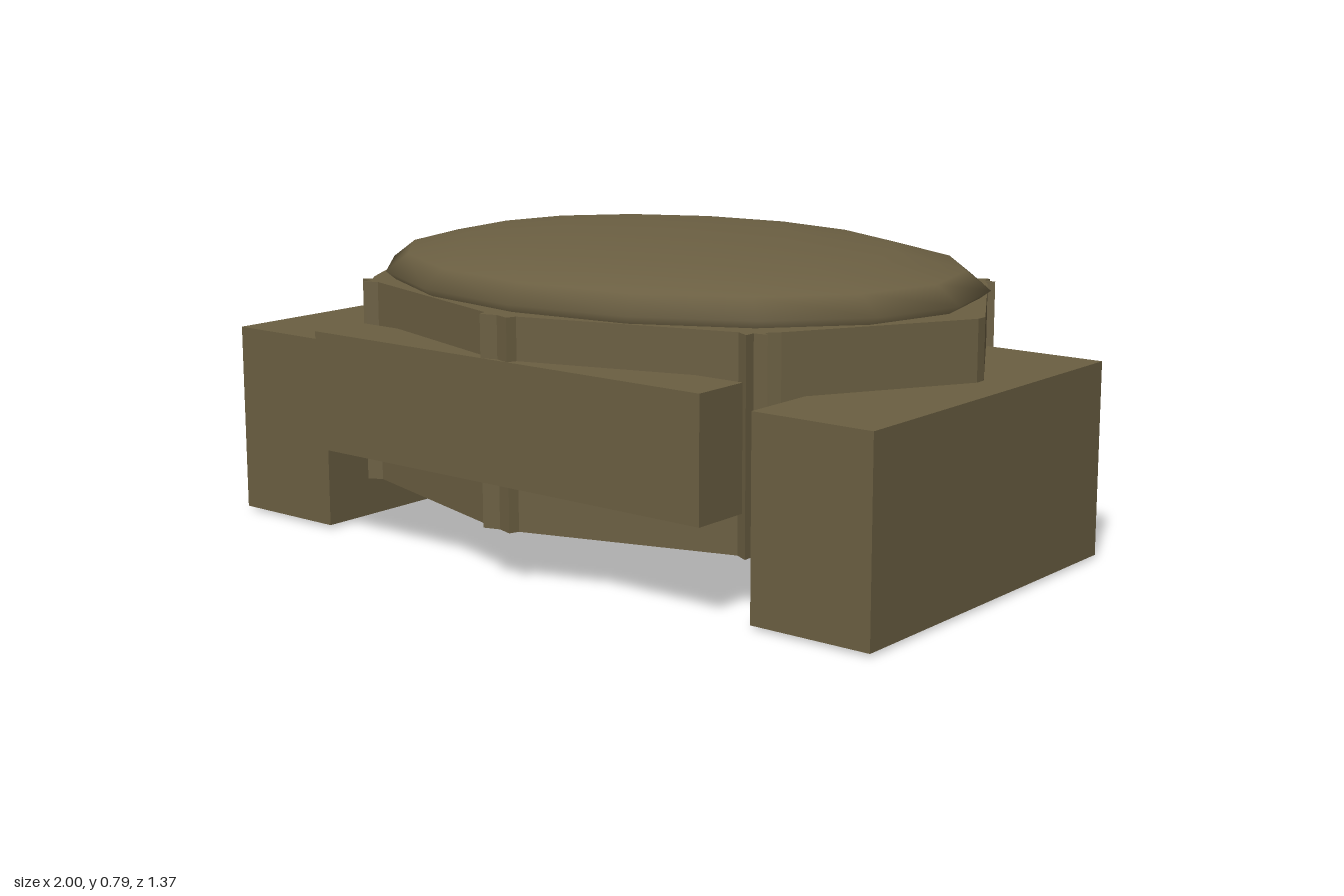
import * as THREE from 'three';

const shell = new THREE.MeshStandardMaterial({ color: 0x6b5f42 });
const dark = new THREE.MeshStandardMaterial({ color: 0x262522 });

// Box given by its min and max on each axis
function box(name, [x0, x1], [y0, y1], [z0, z1], material = shell) {
  const mesh = new THREE.Mesh(new THREE.BoxGeometry(x1 - x0, y1 - y0, z1 - z0), material);
  mesh.position.set((x0 + x1) / 2, (y0 + y1) / 2, (z0 + z1) / 2);
  mesh.name = name;
  return mesh;
}

// Mirrors a quarter outline (from +x axis to +z axis) into a closed loop
function mirrorQuarter(quarter) {
  const half = [...quarter, ...quarter.filter(([x]) => x > 0).reverse().map(([x, y]) => [-x, y])];
  const loop = [...half, ...half.filter(([, y]) => y > 0).reverse().map(([x, y]) => [x, -y])];
  return loop.map(([x, y]) => new THREE.Vector2(x, y));
}

export function createModel() {
  const group = new THREE.Group();

  // Eight-sided ring with a small notched rib at each corner
  const outline = mirrorQuarter([
    [0.9, 0.015], [0.65, 0.44], [0.625, 0.47], [0.645, 0.485], [0.61, 0.49],
    [0.61, 0.518], [0.575, 0.5], [0.05, 0.66], [0.042, 0.685], [0, 0.672],
  ]);
  const ringShape = new THREE.Shape(outline);
  ringShape.holes.push(new THREE.Path(mirrorQuarter([[0.68, 0], [0.5, 0.35], [0, 0.5]])));
  const ringGeometry = new THREE.ExtrudeGeometry(ringShape, { depth: 0.515, bevelEnabled: false });
  ringGeometry.rotateX(-Math.PI / 2);
  const ring = new THREE.Mesh(ringGeometry, shell);
  ring.position.y = 0.13;
  ring.name = 'ribbedRing';
  group.add(ring);

  // Flattened dome lid
  const dome = new THREE.Mesh(new THREE.SphereGeometry(1, 16, 8), shell);
  dome.scale.set(0.84, 0.12, 0.64);
  dome.position.y = 0.665;
  dome.name = 'domeLid';
  group.add(dome);

  // Bar across the front
  group.add(box('frontBar', [-0.61, 0.61], [0.24, 0.54], [0.53, 0.685]));

  // Side blocks with dark pads underneath
  for (const [side, s] of [['left', 1], ['right', -1]]) {
    const span = (a, b) => (s > 0 ? [a, b] : [-b, -a]);
    group.add(box(side + 'SideBlock', span(0.68, 1), [0.008, 0.495], [-0.4, 0.59]));
    group.add(box(side + 'FootPad', span(0.73, 0.95), [0, 0.03], [-0.19, 0.36], dark));
  }
  return group;
}
